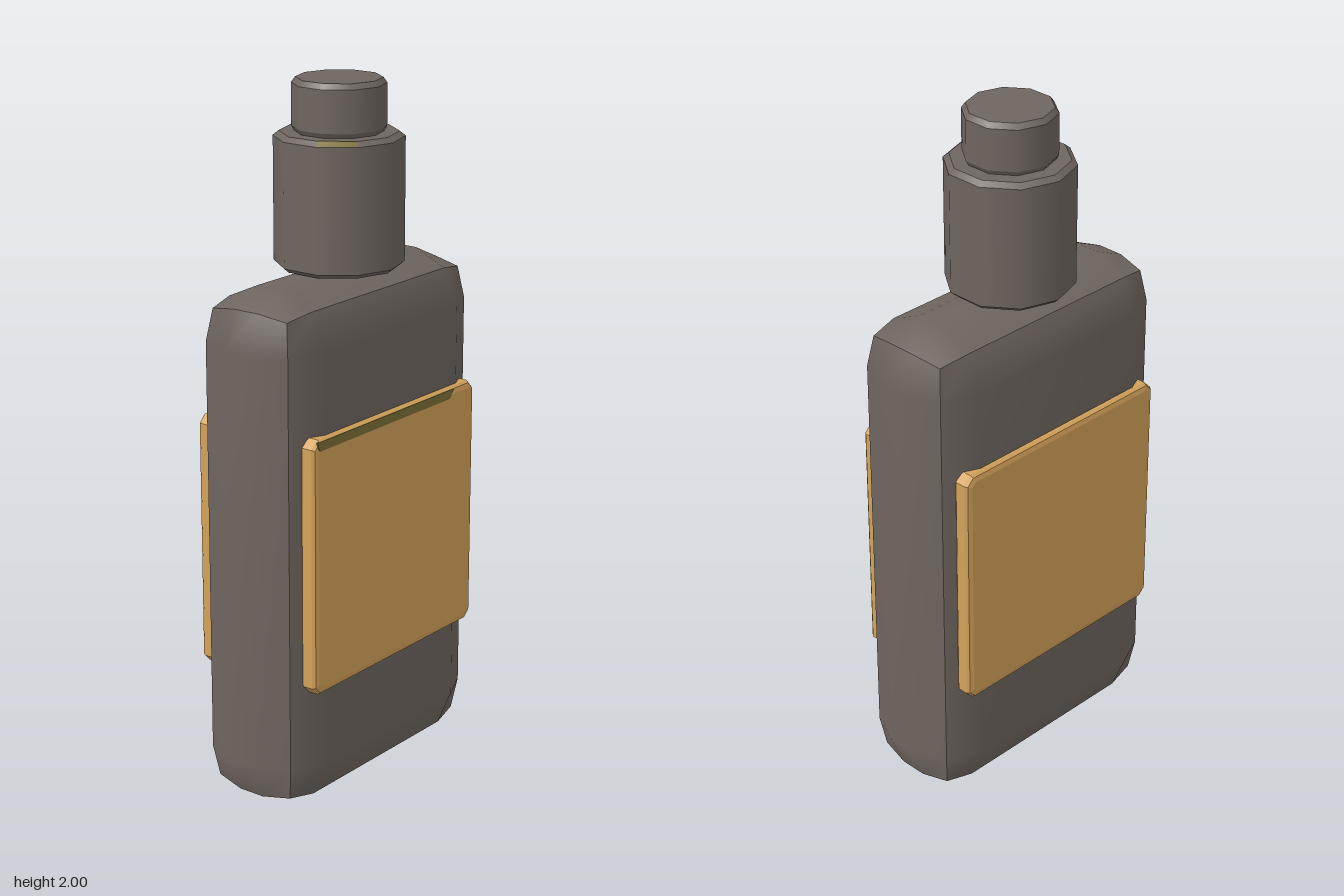
import * as THREE from 'three';

const mat = (name, color) => {
  const m = new THREE.MeshStandardMaterial({ color });
  m.name = name;
  return m;
};

export function createModel() {
  const group = new THREE.Group();
  const dark = mat('dark grey', 0x6e655f);
  const gold = mat('gold', 0xd4a25a);
  const olive = mat('olive', 0x7d7038);

  const add = (name, geometry, material, parent = group) => {
    const mesh = new THREE.Mesh(geometry, material);
    mesh.name = name;
    parent.add(mesh);
    return mesh;
  };

  // Body: 3x3 box whose faces bulge outward and whose corners are pulled in
  const half = [0.4, 0.695, 0.14], inner = [0.3, 0.59, 0.04], bulge = 0.045, pull = 0.014;
  const body = new THREE.BoxGeometry(2, 2, 2, 3, 3, 3);
  const pos = body.attributes.position;
  for (let i = 0; i < pos.count; i++) {
    const p = [pos.getX(i), pos.getY(i), pos.getZ(i)];
    const outer = p.filter((v) => Math.abs(v) > 0.9).length;
    const q = p.map((v, k) => {
      const out = Math.abs(v) > 0.9;
      let d = out ? half[k] : inner[k];
      if (out && outer === 1) d += bulge;
      if (out && outer === 3) d -= pull;
      return Math.sign(v) * d;
    });
    pos.setXYZ(i, ...q);
  }
  body.computeVertexNormals();
  add('body', body, dark).position.y = 0.742;

  // Label plates: bevelled slabs on both broad sides
  const w = 0.348, h = 0.345, c = 0.012;
  const outline = new THREE.Shape([
    [-w + c, -h], [w - c, -h], [w, -h + c], [w, h - c],
    [w - c, h], [-w + c, h], [-w, h - c], [-w, -h + c],
  ].map(([x, y]) => new THREE.Vector2(x, y)));
  const plate = new THREE.ExtrudeGeometry(outline, {
    depth: 0.029, bevelEnabled: true, bevelThickness: 0.012, bevelSize: 0.02, bevelSegments: 2,
  });
  plate.translate(0, 0.743, 0.162);
  add('frontLabel', plate, gold);
  add('backLabel', plate, gold).rotation.y = Math.PI;

  // Thin stripe at the top of the front label
  const stripe = new THREE.Shape([
    [-0.347, 1.078], [0.245, 1.078], [0.265, 1.104], [-0.358, 1.104],
  ].map(([x, y]) => new THREE.Vector2(x, y)));
  add('frontLabelStripe',
    new THREE.ExtrudeGeometry(stripe, { depth: 0.004, bevelEnabled: false }), olive).position.z = 0.2005;

  // Ten-sided stacked sections with crisp bevels, given as [radius, y] from bottom to top
  const turned = (name, profile) => {
    const part = new THREE.Group();
    part.name = name;
    for (let i = 0; i < profile.length - 1; i++) {
      const [r0, y0] = profile[i], [r1, y1] = profile[i + 1];
      add(`${name}Side`, new THREE.CylinderGeometry(r1, r0, y1 - y0, 10, 1, true), dark, part)
        .position.y = (y0 + y1) / 2;
    }
    [[profile[0], 1], [profile[profile.length - 1], -1]].forEach(([[r, y], s]) => {
      const cap = new THREE.CircleGeometry(r, 10, Math.PI / 2);
      cap.rotateX(s * Math.PI / 2);
      add(`${name}Cap`, cap, dark, part).position.y = y;
    });
    group.add(part);
  };
  turned('collar', [[0.165, 1.485], [0.179, 1.497], [0.179, 1.842], [0.163, 1.855]]);
  turned('button', [[0.118, 1.85], [0.129, 1.868], [0.129, 1.985], [0.118, 2]]);

  // Coloured facet on the collar's upper bevel
  const facet = new THREE.CylinderGeometry(0.164, 0.18, 0.013, 1, 1, true,
    THREE.MathUtils.degToRad(288), THREE.MathUtils.degToRad(36));
  add('collarFacet', facet, olive).position.y = 1.8495;

  return group;
}
